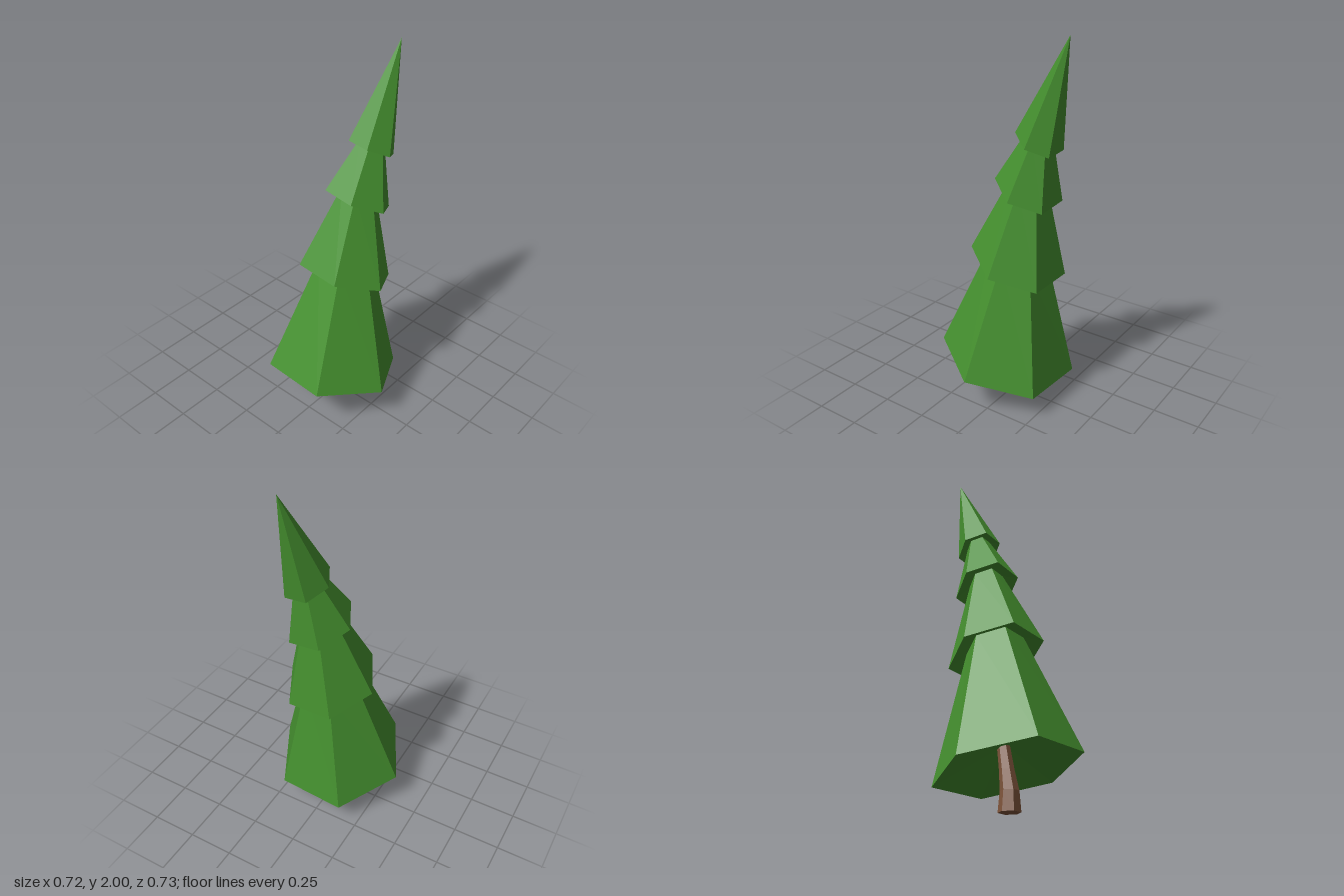
import * as THREE from 'three';

const SIDES = 6;
const PHASE = 0.58;

// Hexagonal ring around a centre; slopeX and slopeZ tilt its plane, narrowing it slightly.
function ring([x, y, z], radius, slopeX = 0, slopeZ = 0) {
  const sx = Math.hypot(1, slopeX) ** -0.5;
  return Array.from({ length: SIDES }, (_, i) => {
    const a = PHASE + (i * Math.PI * 2) / SIDES;
    const dx = Math.cos(a) * radius * sx, dz = Math.sin(a) * radius;
    return new THREE.Vector3(x + dx, y + slopeX * dx + slopeZ * dz, z + dz);
  });
}

// Skin a list of rings with flat facets.
function loft(rings) {
  const points = [];
  for (let r = 0; r < rings.length - 1; r++) {
    const a = rings[r], b = rings[r + 1];
    for (let i = 0; i < SIDES; i++) {
      const j = (i + 1) % SIDES;
      for (const tri of [[a[i], b[i], b[j]], [a[i], b[j], a[j]]]) {
        const area = new THREE.Triangle(...tri).getArea();
        if (area > 1e-8) points.push(...tri);
      }
    }
  }
  const geometry = new THREE.BufferGeometry().setFromPoints(points);
  geometry.computeVertexNormals();
  return geometry;
}

export function createModel() {
  const model = new THREE.Group();
  model.name = 'leaningPine';

  const needles = new THREE.MeshStandardMaterial({ color: 0x45902f, flatShading: true });
  needles.name = 'needleGreen';
  const bark = new THREE.MeshStandardMaterial({ color: 0x80563c, flatShading: true });
  bark.name = 'barkBrown';

  const add = (name, rings, material) => {
    const mesh = new THREE.Mesh(loft(rings), material);
    mesh.name = name;
    model.add(mesh);
  };

  // Curved trunk, running up into the hollow of the lowest tier
  add('trunk', [
    ring([-0.063, 0, -0.02], 0),
    ring([-0.063, 0, -0.02], 0.055),
    ring([-0.062, 0.1, -0.017], 0.046),
    ring([-0.044, 0.2, -0.013], 0.037),
    ring([-0.01, 0.36, 0], 0.03),
  ], bark);

  // Branch tiers: skirt ring, its tilt, and the neck where it meets the tier below
  const tiers = [
    { center: [-0.04, 0.204, 0], radius: 0.366, tilt: [-0.22, 0], neck: 0, lift: 0.12 },
    { center: [0.04, 0.81, 0.016], radius: 0.25, tilt: [-0.33, -0.075], neck: 0.151, lift: 0.05 },
    { center: [0.114, 1.222, 0.034], radius: 0.173, tilt: [-0.415, -0.14], neck: 0.093, lift: 0.04 },
    { center: [0.187, 1.487, 0.056], radius: 0.12, tilt: [-0.45, -0.13], neck: 0.065, lift: 0.03 },
  ];
  const neckRing = ({ center: [x, y, z], neck, lift, tilt }) =>
    ring([x - tilt[0] * lift * 0.5, y + lift, z - tilt[1] * lift * 0.5], neck, ...tilt);
  const tip = ring([0.358, 2, 0.085], 0);

  tiers.forEach((tier, i) => {
    const top = i < tiers.length - 1 ? neckRing(tiers[i + 1]) : tip;
    add(`branchTier${i + 1}`, [neckRing(tier), ring(tier.center, tier.radius, ...tier.tilt), top], needles);
  });

  return model;
}
